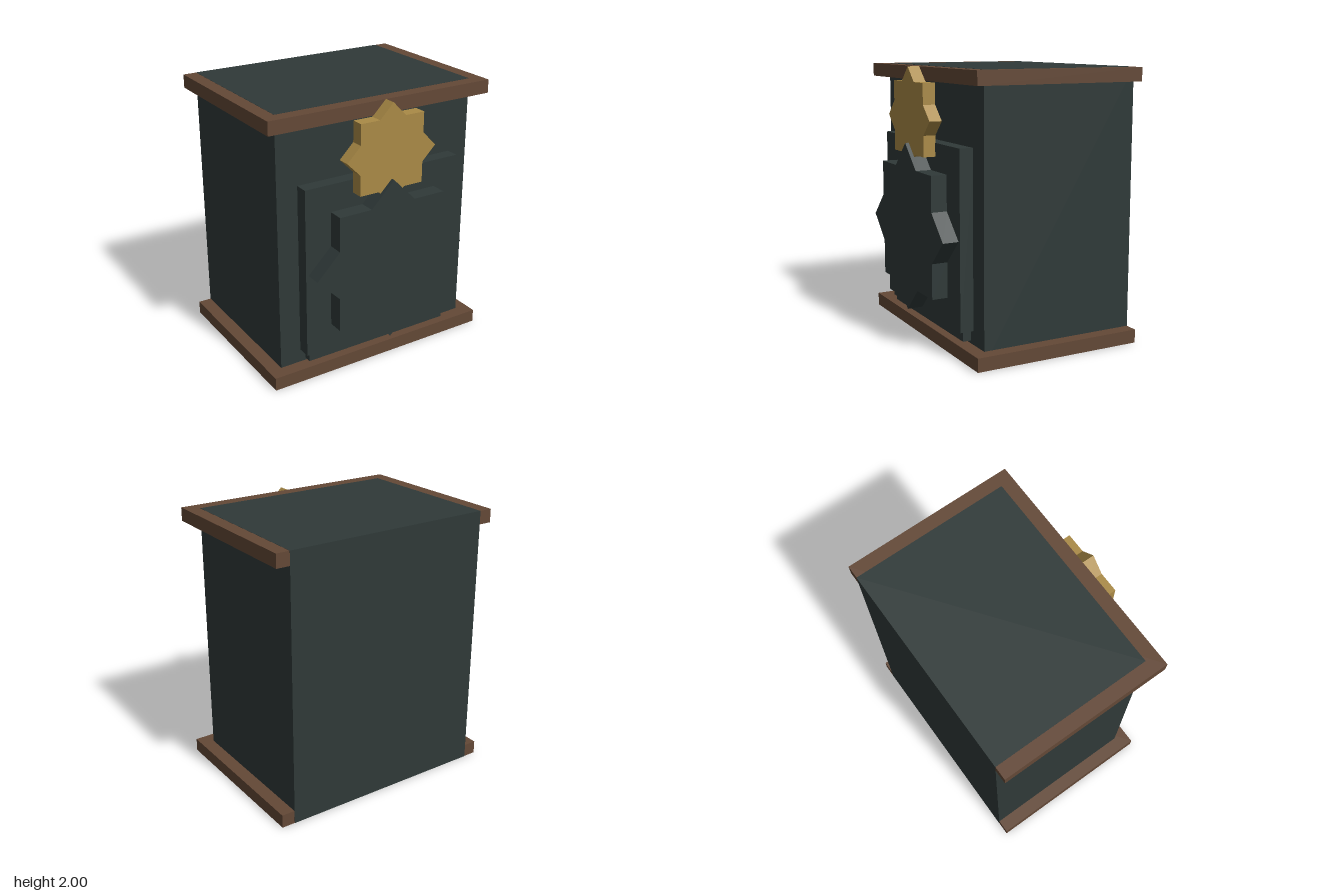
import * as THREE from 'three';

const material = (name, color) => {
  const m = new THREE.MeshStandardMaterial({ color });
  m.name = name;
  return m;
};

// Box given by its lower and upper corners
function block(name, mat, [x0, y0, z0], [x1, y1, z1]) {
  const mesh = new THREE.Mesh(new THREE.BoxGeometry(x1 - x0, y1 - y0, z1 - z0), mat);
  mesh.name = name;
  mesh.position.set((x0 + x1) / 2, (y0 + y1) / 2, (z0 + z1) / 2);
  return mesh;
}

// Eight-pointed star: outline of a square and the same square turned 45 degrees
function star(name, mat, radius, y, z0, z1) {
  const inner = radius * Math.SQRT1_2 / Math.cos(Math.PI / 8);
  const points = [];
  for (let i = 0; i < 16; i++) {
    const r = i % 2 ? inner : radius;
    const a = i * Math.PI / 8;
    points.push(new THREE.Vector2(r * Math.cos(a), r * Math.sin(a)));
  }
  const geometry = new THREE.ExtrudeGeometry(new THREE.Shape(points), { depth: z1 - z0, bevelEnabled: false });
  const mesh = new THREE.Mesh(geometry, mat);
  mesh.name = name;
  mesh.position.set(0, y, z0);
  return mesh;
}

export function createModel() {
  const slate = material('dark slate', 0x2f3938);
  const wood = material('brown wood', 0x634836);
  const gold = material('gold', 0xaa8a46);
  const group = new THREE.Group();
  group.name = 'cabinet';

  // Cabinet core, just proud of the slabs at the back, top and bottom
  group.add(block('body', slate, [-0.798, 0, -0.706], [0.798, 2, 0.488]));

  // Overhanging wooden slabs
  group.add(block('baseSlab', wood, [-0.898, 0.001, -0.705], [0.898, 0.1, 0.588]));
  group.add(block('topSlab', wood, [-0.898, 1.9, -0.705], [0.898, 1.999, 0.588]));

  // Stepped front panels
  group.add(block('backPanel', slate, [-0.598, 0.12, 0.48], [0.598, 1.4, 0.548]));
  group.add(block('frontPanel', slate, [-0.638, 0.2, 0.48], [0.638, 1.476, 0.588]));

  // Star ornaments
  group.add(star('largeStar', slate, 0.618, 0.838, 0.587, 0.706));
  group.add(star('goldStar', gold, 0.364, 1.636, 0.585, 0.678));
  return group;
}
